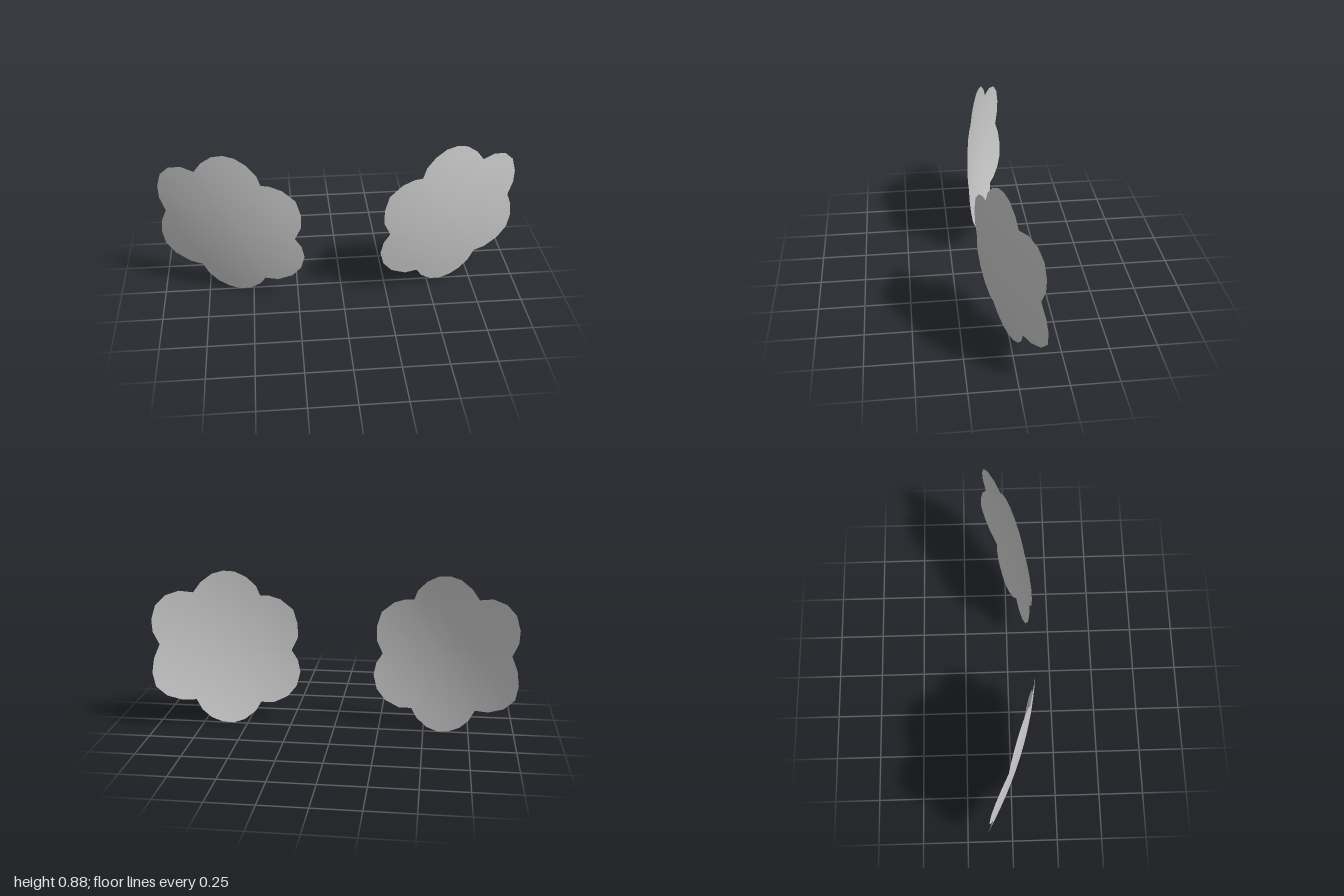
import * as THREE from 'three';

// Petal outline of the flower on the +x side, clockwise from the upper inner notch
const outline = [
  [0.43, 0.73], [0.45, 0.785], [0.5, 0.838], [0.56, 0.872], [0.62, 0.88], [0.68, 0.865], [0.74, 0.82],
  [0.78, 0.765], [0.85, 0.78], [0.92, 0.76], [0.97, 0.71], [0.993, 0.63], [0.99, 0.56],
  [0.96, 0.485], [0.99, 0.41], [1.0, 0.33], [0.985, 0.25], [0.93, 0.19], [0.85, 0.155],
  [0.78, 0.15], [0.75, 0.09], [0.7, 0.04], [0.64, 0.01], [0.58, 0], [0.52, 0.015], [0.46, 0.06],
  [0.43, 0.11], [0.36, 0.105], [0.28, 0.14], [0.23, 0.2], [0.21, 0.28], [0.225, 0.35],
  [0.26, 0.405], [0.225, 0.48], [0.225, 0.56], [0.25, 0.645], [0.32, 0.705], [0.385, 0.728],
];
const centre = [0.605, 0.44];
const rings = 8;

// Gentle dome that wraps backwards toward the outer side
function depth(x, y) {
  const u = x - 0.6, v = y - 0.572;
  return 0.06 - 0.329 * u - 0.308 * u * u - 0.2 * v * v;
}

// Curved sheet: rings growing from the centre to the petal outline
function flowerGeometry(side) {
  const n = outline.length;
  const positions = [side * centre[0], centre[1], depth(...centre)];
  const index = [];
  const tri = (a, b, c) => (side > 0 ? index.push(a, b, c) : index.push(a, c, b));
  for (let r = 1; r <= rings; r++) {
    const t = r / rings;
    outline.forEach(([px, py], j) => {
      const x = centre[0] + (px - centre[0]) * t;
      const y = centre[1] + (py - centre[1]) * t;
      positions.push(side * x, y, depth(x, y));
      const k = (j + 1) % n, outer = 1 + (r - 1) * n, inner = outer - n;
      if (r === 1) tri(0, outer + k, outer + j);
      else {
        tri(inner + j, outer + k, outer + j);
        tri(inner + j, inner + k, outer + k);
      }
    });
  }
  const geometry = new THREE.BufferGeometry();
  geometry.setAttribute('position', new THREE.Float32BufferAttribute(positions, 3));
  geometry.setIndex(index);
  geometry.computeVertexNormals();
  return geometry;
}

export function createModel() {
  const model = new THREE.Group();
  model.name = 'flowerLenses';
  const material = new THREE.MeshStandardMaterial({ color: 0xcccccc, side: THREE.DoubleSide });
  for (const [name, side] of [['leftFlowerLens', 1], ['rightFlowerLens', -1]]) {
    const lens = new THREE.Mesh(flowerGeometry(side), material);
    lens.name = name;
    model.add(lens);
  }
  return model;
}
